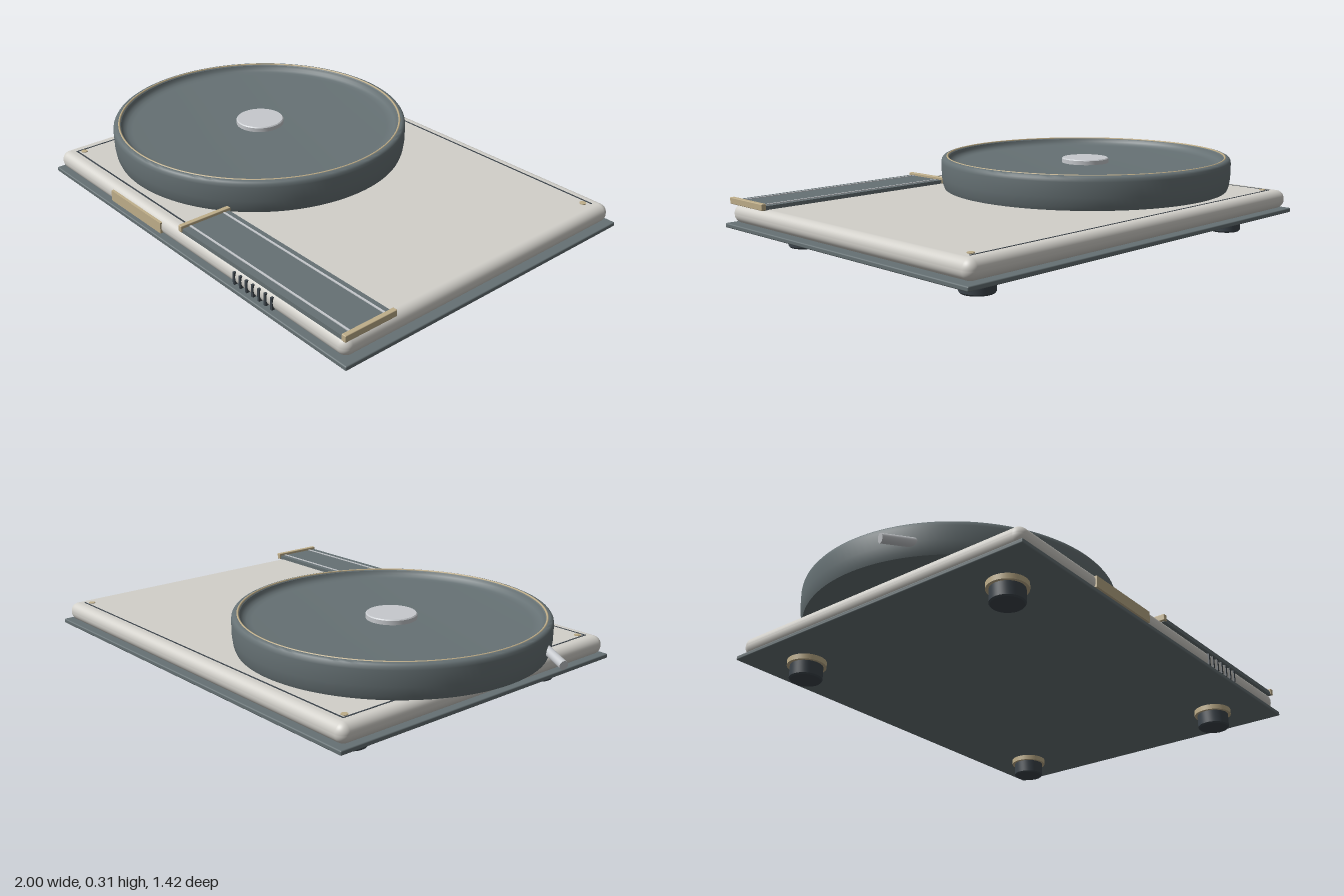
import * as THREE from 'three';
import { RoundedBoxGeometry } from 'three/addons/geometries/RoundedBoxGeometry.js';
import { toCreasedNormals } from 'three/addons/utils/BufferGeometryUtils.js';

const mat = (color) => new THREE.MeshStandardMaterial({ color });
const slate = mat(0x667174), dark = mat(0x3c444b), tan = mat(0xbfae8a);
const ivory = mat(0xd2d0ca), silver = mat(0xc6c9cd);

export function createModel() {
  const model = new THREE.Group();

  const add = (name, geometry, material, x, y, z) => {
    const mesh = new THREE.Mesh(geometry, material);
    mesh.name = name;
    mesh.position.set(x, y, z);
    model.add(mesh);
    return mesh;
  };
  // Box given by its minimum and maximum corners
  const box = (name, material, [x0, y0, z0], [x1, y1, z1], radius = 0) => {
    const size = [x1 - x0, y1 - y0, z1 - z0];
    const geometry = radius
      ? new RoundedBoxGeometry(...size, 6, radius)
      : new THREE.BoxGeometry(...size);
    return add(name, geometry, material, (x0 + x1) / 2, (y0 + y1) / 2, (z0 + z1) / 2);
  };
  const lathe = (points, segments) => toCreasedNormals(
    new THREE.LatheGeometry(points.map(([r, y]) => new THREE.Vector2(r, y)), segments), 0.6);

  // Base plate and rounded body
  box('basePlate', slate, [-0.84, 0.08, -0.708], [1, 0.098, 0.708], 0.005);
  box('body', ivory, [-0.83, 0.098, -0.694], [0.98, 0.174, 0.694], 0.036);

  // Feet with collars
  for (const x of [-0.657, 0.77]) {
    for (const z of [-0.502, 0.502]) {
      add('foot', lathe([[0, 0], [0.06, 0], [0.065, 0.006], [0.065, 0.06], [0, 0.06]], 40), dark, x, 0, z);
      add('footCollar', new THREE.CylinderGeometry(0.077, 0.077, 0.023, 40), tan, x, 0.07, z);
    }
  }

  // Inlaid seam lines and screws on the top
  const seam = 0.0035;
  box('backSeam', dark, [-0.777, 0.17, -0.64 - seam], [0.93, 0.175, -0.64 + seam]);
  box('leftSeam', dark, [-0.777, 0.17, -0.64], [-0.777 + 2 * seam, 0.175, 0.64]);
  box('frontSeam', dark, [-0.777, 0.17, 0.64 - seam], [0.065, 0.175, 0.64 + seam]);
  for (const [x, z] of [[-0.755, -0.618], [0.905, -0.618], [-0.755, 0.616]]) {
    add('screw', new THREE.CylinderGeometry(0.013, 0.013, 0.008, 20), tan, x, 0.173, z);
  }

  // Shallow round pan with a raised rim
  const pan = [
    [0, 0.174], [0.606, 0.174], [0.612, 0.19], [0.617, 0.225], [0.618, 0.285],
    [0.616, 0.297], [0.611, 0.304], [0.603, 0.308], [0.592, 0.308],
    [0.585, 0.303], [0.581, 0.292], [0.573, 0.283], [0.56, 0.277], [0.54, 0.275], [0, 0.275],
  ];
  const cx = -0.329;
  add('pan', lathe(pan, 128), slate, cx, 0, 0);
  const ring = add('rimRing', new THREE.TorusGeometry(0.593, 0.0045, 8, 128), tan, cx, 0.306, 0);
  ring.rotation.x = Math.PI / 2;
  add('hub', lathe([[0, 0.27], [0.1, 0.27], [0.1, 0.292], [0.096, 0.296], [0, 0.296]], 64), silver, cx, 0, 0);

  // Side lever, leaning out of the pan
  const tip = new THREE.Vector3(-0.993, 0.208, 0.218);
  const root = new THREE.Vector3(-0.84, 0.236, 0.277);
  const along = root.clone().sub(tip);
  const middle = tip.clone().add(root).multiplyScalar(0.5);
  const lever = add('lever', new THREE.CylinderGeometry(0.018, 0.018, along.length(), 24), silver, ...middle.toArray());
  lever.quaternion.setFromUnitVectors(new THREE.Vector3(0, 1, 0), along.normalize());

  // Front strip with rails and end bars
  box('strip', slate, [0.07, 0.172, 0.474], [0.972, 0.189, 0.69]);
  for (const z of [0.5, 0.655]) {
    box('stripRail', silver, [0.082, 0.186, z - 0.004], [0.962, 0.192, z + 0.004]);
  }
  for (const x of [0.06, 0.962]) {
    box('stripEndBar', tan, [x, 0.174, 0.467], [x + 0.02, 0.2, 0.695], 0.003);
  }

  // Front plaque and vent slots
  box('frontPlaque', tan, [-0.405, 0.112, 0.66], [-0.057, 0.157, 0.7]);
  for (let i = 0; i < 7; i++) {
    const x = 0.401 + i * 0.035;
    box('ventSlot', dark, [x - 0.005, 0.108, 0.66], [x + 0.005, 0.158, 0.698]);
  }

  return model;
}
